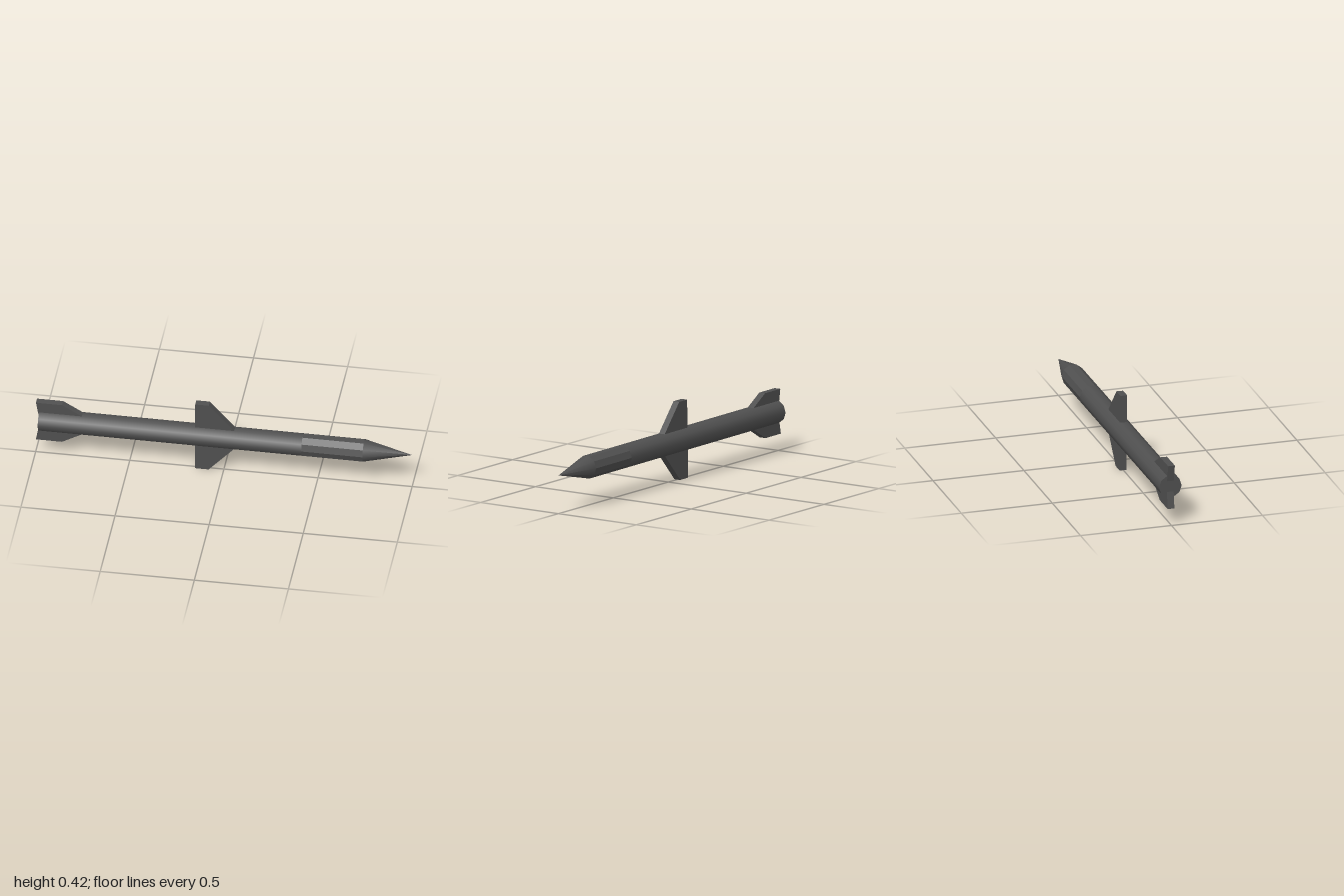
import * as THREE from 'three';

const SIDES = 10;
const RADIUS = 0.062;

export function createModel() {
  const grey = new THREE.MeshStandardMaterial({ color: 0x505050 });
  grey.name = 'dark grey';
  const model = new THREE.Group();
  model.name = 'missile';

  // Everything sits on one long axis, pitched and rolled very slightly
  const airframe = new THREE.Group();
  airframe.name = 'airframe';
  airframe.position.y = 0.212;
  airframe.rotation.set(0.012, 0, -0.004);
  model.add(airframe);

  const add = (name, geometry) => {
    const mesh = new THREE.Mesh(geometry, grey);
    mesh.name = name;
    airframe.add(mesh);
  };

  // Ten-sided section of the tube between two x positions
  const section = (x0, x1, frontRadius, open) => {
    const g = new THREE.CylinderGeometry(frontRadius, RADIUS, x1 - x0, SIDES, 1, open);
    return g.rotateZ(-Math.PI / 2).translate((x0 + x1) / 2, 0, 0);
  };

  // Smooth main tube, faceted forward section and pointed nose
  add('body', section(-0.98, 0.42, RADIUS, false));
  const forward = section(0.42, 0.745, RADIUS, true).toNonIndexed();
  forward.computeVertexNormals();
  add('forwardBody', forward);
  add('nose', section(0.745, 1, 0, true));

  // Swept fin plates, each outline mirrored above and below the body
  const fin = (name, outline, thickness) => {
    for (const side of [1, -1]) {
      const shape = new THREE.Shape(outline.map(([x, y]) => new THREE.Vector2(x, y * side)));
      const g = new THREE.ExtrudeGeometry(shape, { depth: thickness, bevelEnabled: false });
      add(name + (side > 0 ? 'Top' : 'Bottom'), g.translate(0, 0, -thickness / 2));
    }
  };
  fin('wing', [[-0.15, 0.03], [0.085, 0.03], [0.058, 0.058], [-0.078, 0.209], [-0.15, 0.209]], 0.037);
  fin('tailFin', [[-0.98, 0.03], [-0.7, 0.03], [-0.75, 0.058], [-0.857, 0.12], [-0.996, 0.12]], 0.037);

  return model;
}
